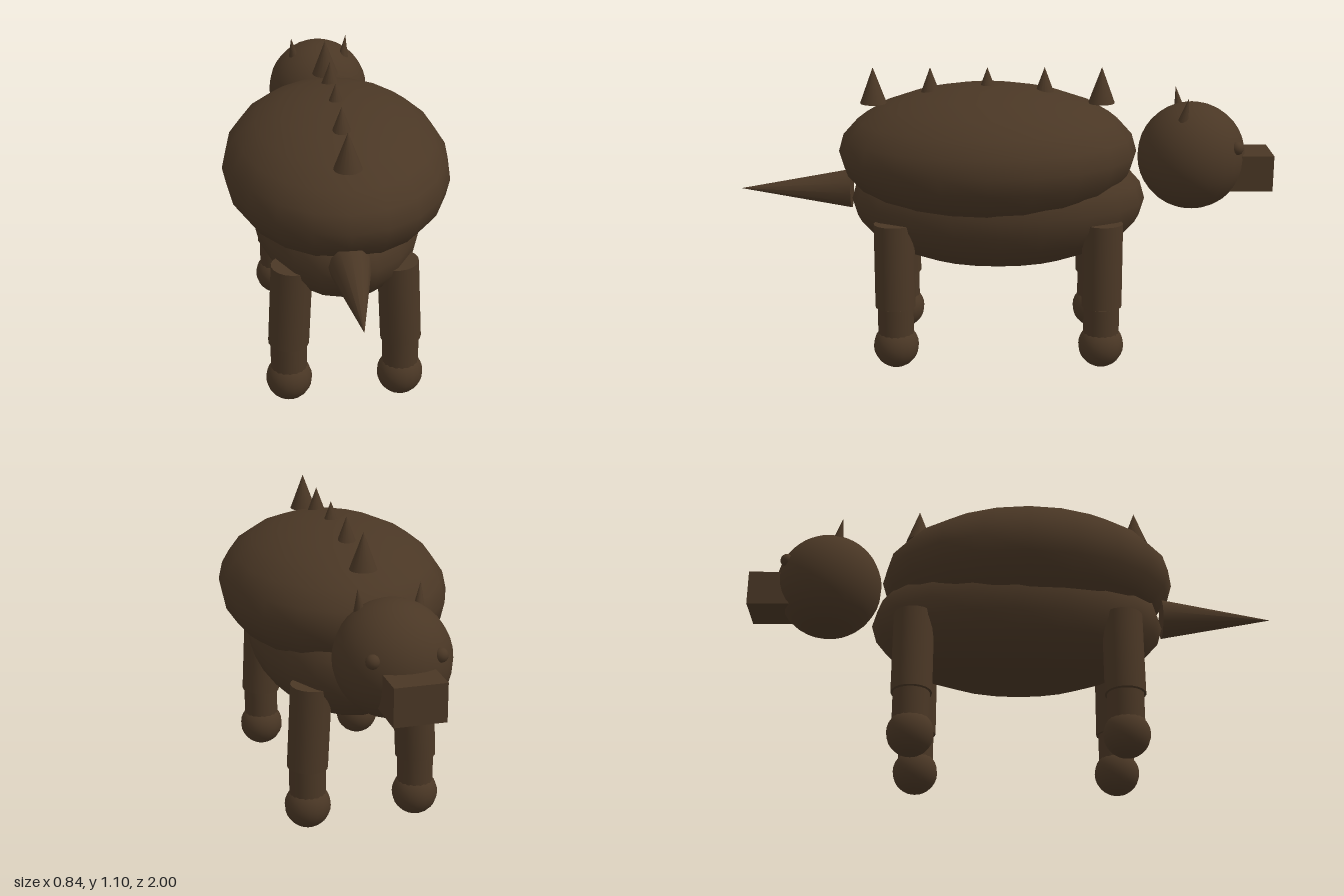
import * as THREE from 'three';

export function createModel() {
  const model = new THREE.Group();
  model.name = 'spikedAnimal';
  const hide = new THREE.MeshStandardMaterial({ color: 0x4a3725 });
  hide.name = 'dark brown hide';

  const add = (name, geometry, x, y, z, rx = 0, rz = 0) => {
    const mesh = new THREE.Mesh(geometry, hide);
    mesh.name = name;
    mesh.position.set(x, y, z);
    mesh.rotation.set(rx, 0, rz);
    model.add(mesh);
    return mesh;
  };

  // Shell and belly: two overlapping ellipsoids
  const ball = new THREE.SphereGeometry(1, 20, 12);
  add('shell', ball.clone().scale(0.42, 0.255, 0.56), 0, 0.785, 0.065);
  add('belly', ball.clone().scale(0.32, 0.255, 0.555), 0, 0.6, 0.025);

  // Row of spikes along the back
  const spike = new THREE.ConeGeometry(0.05, 0.135, 16);
  for (let i = 0; i < 5; i++) add('backSpike', spike, 0, 1.037, 0.49 - i * 0.2125);

  // Tail points toward +z
  add('tail', new THREE.ConeGeometry(0.075, 0.42, 12), 0, 0.64, 0.79, Math.PI / 2);

  // Head, away from the tail
  add('head', new THREE.SphereGeometry(0.202, 24, 18), 0, 0.768, -0.702);
  add('snout', new THREE.BoxGeometry(0.18, 0.135, 0.2), 0, 0.718, -0.9);

  const ear = new THREE.ConeGeometry(0.027, 0.12, 12);
  const eye = new THREE.SphereGeometry(0.025, 12, 8);
  const upperLeg = new THREE.CylinderGeometry(0.075, 0.075, 0.318, 18);
  const lowerLeg = new THREE.CylinderGeometry(0.067, 0.067, 0.15, 18);
  const foot = new THREE.SphereGeometry(0.085, 18, 14);

  for (const s of [-1, 1]) {
    // The two ears lean slightly apart
    add('ear', ear, s * 0.105, 0.95, -0.66, -s * 0.18, -s * 0.12);
    add('eye', eye, s * 0.115, 0.822, -0.855);

    // Front and back legs, the thighs leaning inward
    for (const z of [0.41, -0.36]) {
      add('upperLeg', upperLeg, s * 0.198, 0.399, z, 0, s * 0.05);
      add('lowerLeg', lowerLeg, s * 0.206, 0.165, z);
      add('foot', foot, s * 0.206, 0.085, z);
    }
  }
  return model;
}
